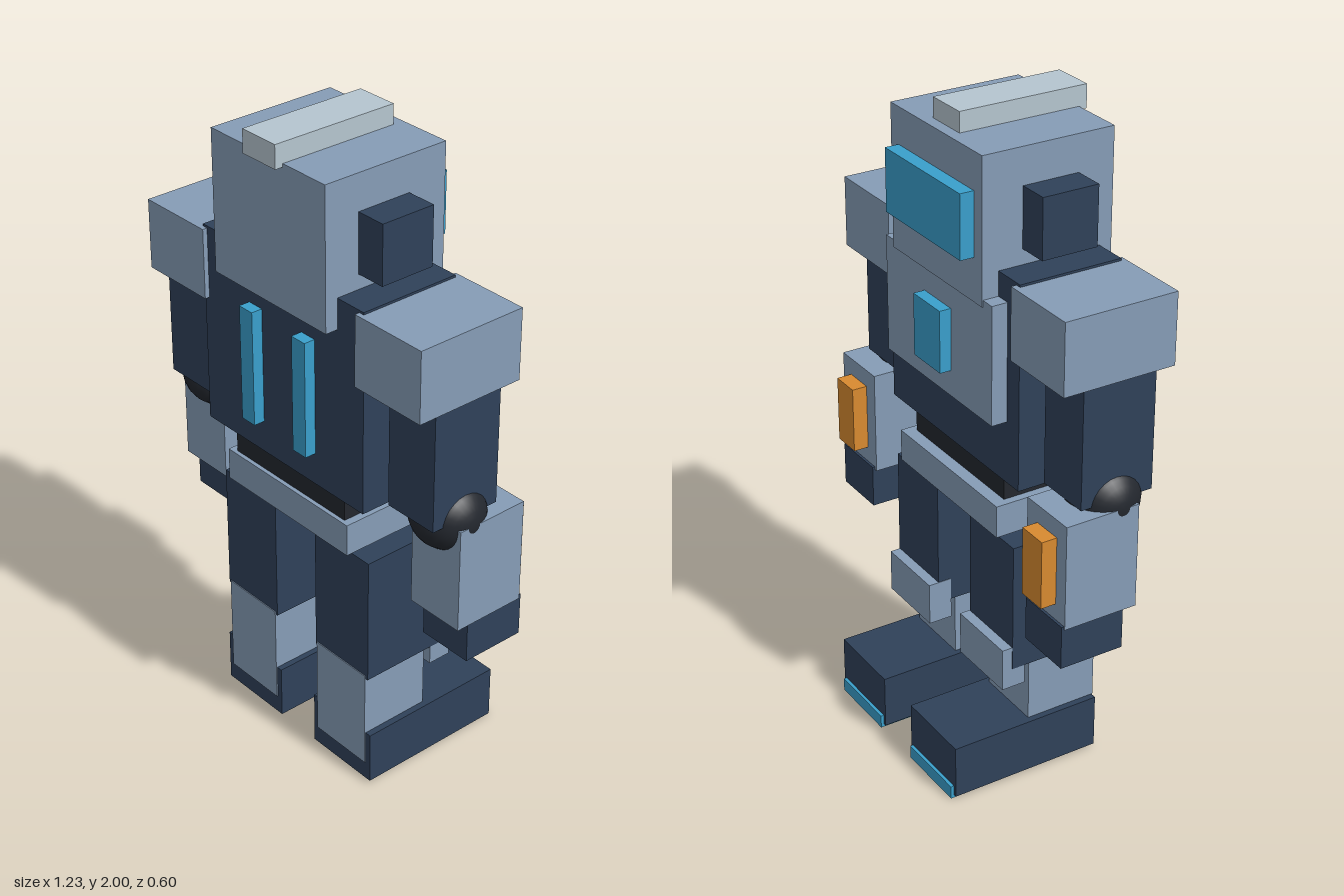
import * as THREE from 'three';

const material = (color) => new THREE.MeshStandardMaterial({ color });

export function createModel() {
  const robot = new THREE.Group();
  robot.name = 'robot';

  const armour = material(0x869cb6);
  const navy = material(0x2f4159);
  const black = material(0x23272e);
  const glow = material(0x3a9fcb);
  const amber = material(0xd88a30);
  const silver = material(0xb5c5cf);

  // Box given by its [min, max] range on each axis
  function box(parent, name, mat, [x0, x1], [y0, y1], [z0, z1]) {
    const mesh = new THREE.Mesh(new THREE.BoxGeometry(x1 - x0, y1 - y0, z1 - z0), mat);
    mesh.position.set((x0 + x1) / 2, (y0 + y1) / 2, (z0 + z1) / 2);
    mesh.name = name;
    parent.add(mesh);
  }

  // Box on either side of the middle plane
  function pair(parent, name, mat, [x0, x1], y, z) {
    box(parent, name + 'Left', mat, [x0, x1], y, z);
    box(parent, name + 'Right', mat, [-x1, -x0], y, z);
  }

  function group(name) {
    const g = new THREE.Group();
    g.name = name;
    robot.add(g);
    return g;
  }

  // Head with crest, visor and ear blocks
  const head = group('head');
  box(head, 'skull', armour, [-0.235, 0.235], [1.51, 1.94], [-0.14, 0.275]);
  box(head, 'crest', silver, [-0.067, 0.067], [1.93, 2.0], [-0.105, 0.3]);
  box(head, 'visor', glow, [-0.195, 0.195], [1.64, 1.83], [-0.183, -0.13]);
  pair(head, 'ear', navy, [0.22, 0.33], [1.65, 1.83], [-0.013, 0.163]);

  // Torso, chest plate and glowing strips
  const torso = group('torso');
  box(torso, 'body', navy, [-0.34, 0.34], [0.98, 1.604], [-0.088, 0.235]);
  box(torso, 'chestPlate', armour, [-0.28, 0.28], [1.17, 1.53], [-0.137, -0.08]);
  box(torso, 'chestLight', glow, [-0.07, 0.07], [1.25, 1.44], [-0.173, -0.13]);
  pair(torso, 'glowStrip', glow, [0.085, 0.14], [1.08, 1.44], [0.225, 0.27]);
  box(torso, 'waist', black, [-0.24, 0.24], [0.795, 0.99], [-0.07, 0.215]);
  box(torso, 'belt', armour, [-0.265, 0.265], [0.8, 0.9], [-0.11, 0.228]);

  // Arms
  const arms = group('arms');
  pair(arms, 'shoulder', armour, [0.322, 0.577], [1.38, 1.597], [-0.105, 0.25]);
  pair(arms, 'upperArm', navy, [0.395, 0.574], [1.02, 1.4], [-0.04, 0.192]);
  pair(arms, 'forearm', armour, [0.42, 0.611], [0.685, 1.01], [-0.11, 0.125]);
  pair(arms, 'hand', navy, [0.43, 0.608], [0.56, 0.695], [-0.118, 0.085]);
  pair(arms, 'wristPanel', amber, [0.47, 0.565], [0.745, 0.955], [-0.158, -0.1]);
  for (const side of [1, -1]) {
    const elbow = new THREE.Mesh(new THREE.SphereGeometry(0.109, 24, 16), black);
    elbow.name = side > 0 ? 'elbowLeft' : 'elbowRight';
    elbow.position.set(side * 0.504, 1.008, 0.075);
    elbow.rotation.z = Math.PI / 2;
    arms.add(elbow);
  }

  // Legs
  const legs = group('legs');
  pair(legs, 'thigh', navy, [0.09, 0.322], [0.38, 0.787], [-0.09, 0.198]);
  pair(legs, 'shin', armour, [0.097, 0.313], [0.07, 0.39], [-0.028, 0.201]);
  pair(legs, 'kneePad', armour, [0.088, 0.32], [0.318, 0.453], [-0.123, -0.047]);
  pair(legs, 'foot', navy, [0.078, 0.333], [0.01, 0.18], [-0.29, 0.197]);
  pair(legs, 'sole', glow, [0.088, 0.322], [0, 0.042], [-0.3, 0.145]);

  return robot;
}
